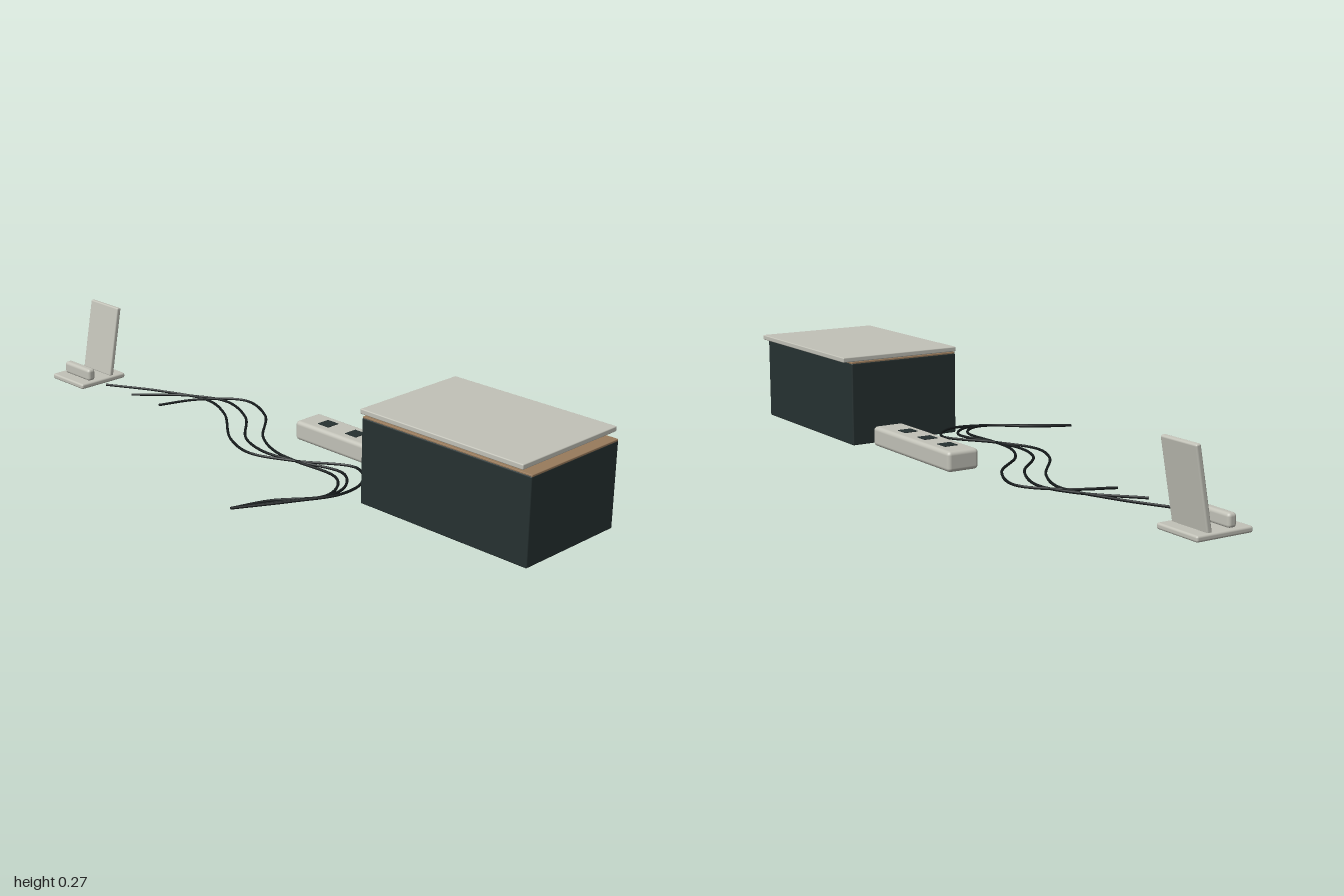
import * as THREE from 'three';
import { RoundedBoxGeometry } from 'three/addons/geometries/RoundedBoxGeometry.js';

const mat = (name, color) => Object.assign(new THREE.MeshStandardMaterial({ color }), { name });

export function createModel() {
  const grey = mat('warmGrey', 0xc2c2b8);
  const dark = mat('darkSlate', 0x263131);
  const tan = mat('tanLiner', 0x997b5c);
  const black = mat('cableBlack', 0x14191a);
  black.side = THREE.DoubleSide;

  const model = new THREE.Group();
  model.name = 'cableOrganiserSet';

  // Softly rounded block given by its min and max on each axis
  const block = (parent, name, material, [x0, x1], [y0, y1], [z0, z1], radius) => {
    const mesh = new THREE.Mesh(new RoundedBoxGeometry(x1 - x0, y1 - y0, z1 - z0, 3, radius), material);
    mesh.position.set((x0 + x1) / 2, (y0 + y1) / 2, (z0 + z1) / 2);
    mesh.name = name;
    parent.add(mesh);
    return mesh;
  };
  const group = (name) => {
    const g = new THREE.Group();
    g.name = name;
    model.add(g);
    return g;
  };

  // Storage box with liner and a lid set slightly askew
  const box = group('storageBox');
  block(box, 'boxBody', dark, [0.423, 0.998], [0, 0.251], [-0.323, 0.04], 0.004);
  block(box, 'liner', tan, [0.424, 0.998], [0.248, 0.255], [-0.322, 0.038], 0.002);
  block(box, 'lid', grey, [0.412, 0.967], [0.258, 0.273], [-0.357, 0.036], 0.003);

  // Power strip with three sockets
  const strip = group('powerStrip');
  block(strip, 'stripBody', grey, [-0.047, 0.392], [0, 0.06], [-0.272, -0.17], 0.012);
  for (const x of [0.042, 0.155, 0.27]) {
    const socket = new THREE.Mesh(new THREE.BoxGeometry(0.043, 0.004, 0.043), dark);
    socket.position.set(x, 0.06, -0.221);
    socket.name = 'socket';
    strip.add(socket);
  }

  // Phone stand: base, leaning back rest and front lip
  const stand = group('phoneStand');
  block(stand, 'standBase', grey, [-1, -0.841], [0, 0.017], [-0.157, 0.021], 0.006);
  const rest = block(stand, 'backRest', grey, [-0.99, -0.851], [0.012, 0.242], [-0.137, -0.121], 0.005);
  rest.rotation.x = -0.18;
  block(stand, 'frontLip', grey, [-0.985, -0.856], [0.014, 0.054], [-0.046, -0.018], 0.01);

  // Three loose cables, as [x, z] points running from the stand to a shared end
  const cables = [
    [[-0.78, -0.03], [-0.61, -0.115], [-0.44, -0.165], [-0.31, -0.12], [-0.13, 0.015], [-0.01, 0.05],
      [0.125, -0.003], [0.28, -0.093], [0.37, -0.02], [0.38, 0.075], [0.32, 0.2], [0.235, 0.35]],
    [[-0.65, -0.03], [-0.51, -0.155], [-0.39, -0.2], [-0.24, -0.145], [-0.1, -0.02], [0.015, 0.013],
      [0.125, -0.003], [0.28, -0.037], [0.355, 0.03], [0.365, 0.1], [0.3, 0.225], [0.235, 0.35]],
    [[-0.515, -0.03], [-0.465, -0.15], [-0.355, -0.248], [-0.21, -0.2], [-0.075, -0.065], [0.03, -0.013],
      [0.125, -0.003], [0.28, -0.003], [0.34, 0.045], [0.36, 0.115], [0.275, 0.24], [0.235, 0.35]],
  ];
  const cableGroup = group('cables');
  for (const points of cables) {
    const path = new THREE.CatmullRomCurve3(points.map(([x, z], i) =>
      new THREE.Vector3(x, 0.021 + (i < 9 ? 0.005 * Math.min(1, i / 3) : 0.005 - 0.0025 * (i - 8)), z)));
    const cable = new THREE.Mesh(new THREE.TubeGeometry(path, 120, 0.004, 8), black);
    cable.name = 'cable';
    cableGroup.add(cable);
  }

  return model;
}
